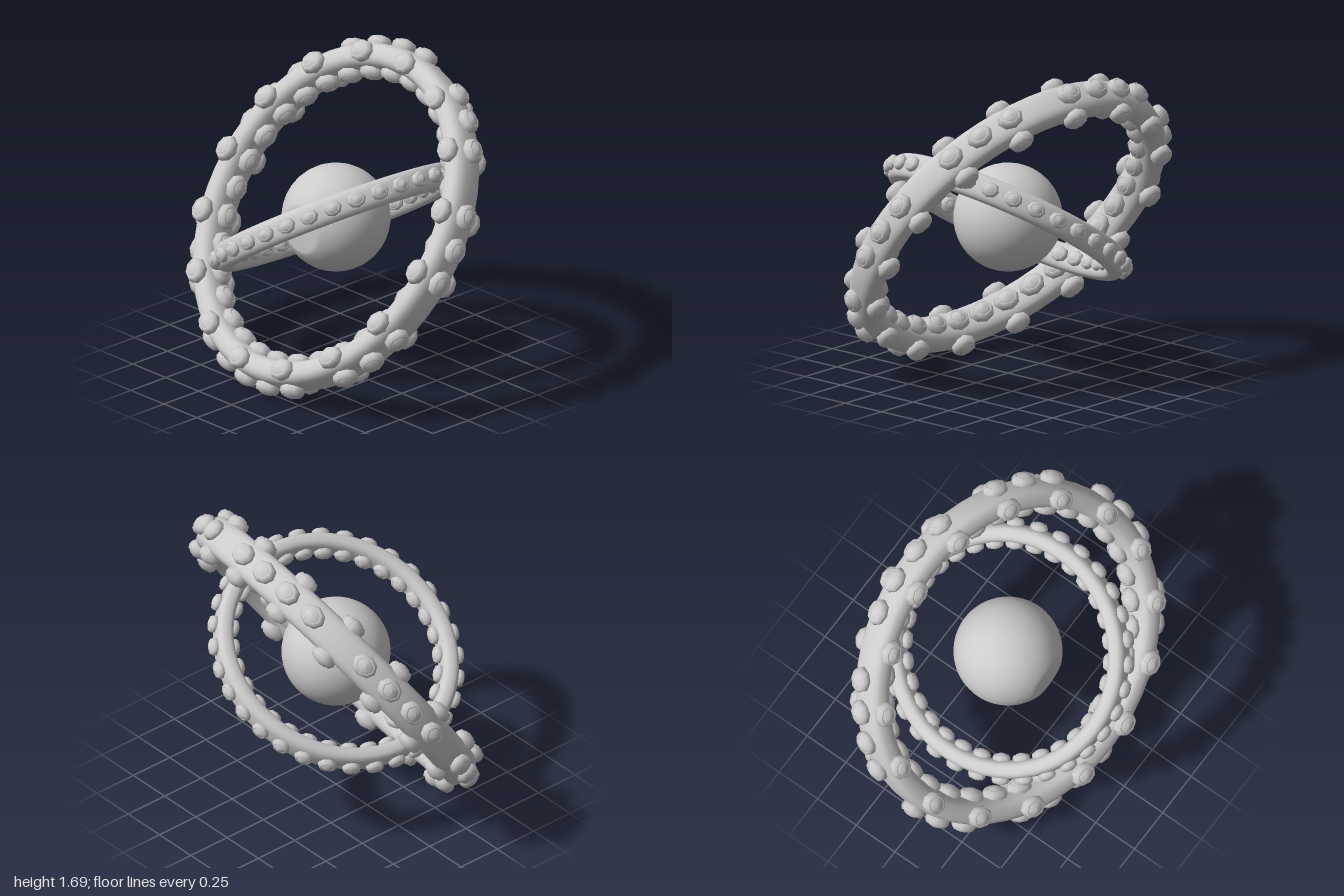
import * as THREE from 'three';
import { mergeGeometries } from 'three/addons/utils/BufferGeometryUtils.js';

const material = new THREE.MeshStandardMaterial({ color: 0xcccccc });
const CENTRE_Y = 0.848;
const R = 0.882;          // ring centreline radius
const RADIAL = 0.068;     // half thickness of the band, radially
const AXIAL = 0.1;        // half width of the band, along its axis
const STEP = Math.PI / 16;
const START = -0.068;

function named(name, geometry) {
  const mesh = new THREE.Mesh(geometry, material);
  mesh.name = name;
  return mesh;
}

// Closed band with a rounded-box section, axis along z
function bandGeometry() {
  const soften = (t) => Math.sign(t) * Math.abs(t) ** 0.75;
  const section = [];
  for (let i = 0; i <= 24; i++) {
    const a = -Math.PI + (i / 24) * Math.PI * 2;
    section.push(new THREE.Vector2(
      R + RADIAL * soften(Math.cos(a)), AXIAL * soften(Math.sin(a))));
  }
  return new THREE.LatheGeometry(section, 56).rotateX(Math.PI / 2);
}

// Small bead: a bulging faceted rim with a lower dome set in it, y outward
function studGeometry() {
  const rim = new THREE.LatheGeometry(
    [[0.056, -0.025], [0.071, 0], [0.071, 0.02], [0.058, 0.04], [0.046, 0.038]]
      .map(([x, y]) => new THREE.Vector2(x, y)), 8);
  const dome = new THREE.LatheGeometry(
    [[0.05, 0.034], [0.034, 0.048], [0, 0.054]].map(([x, y]) => new THREE.Vector2(x, y)), 8);
  return mergeGeometries([rim, dome]).scale(1, 1, 0.84);
}

// Place one stud on the band at an angle measured from the ring's top
function placeStud(stud, angle, side) {
  const radial = new THREE.Vector3(Math.sin(angle), Math.cos(angle), 0);
  const axis = new THREE.Vector3(0, 0, 1);
  const onRim = side === 'outer' || side === 'inner';
  const sign = side === 'outer' || side === 'front' ? 1 : -1;
  const out = (onRim ? radial : axis).clone().multiplyScalar(sign);
  const across = onRim ? axis : radial;
  const along = new THREE.Vector3().crossVectors(out, across);
  const position = radial.clone().multiplyScalar(R)
    .addScaledVector(out, onRim ? RADIAL : AXIAL);
  const matrix = new THREE.Matrix4().makeBasis(along, out, across).setPosition(position);
  return stud.clone().applyMatrix4(matrix);
}

// Studded ring whose axis points along the given normal
function makeRing(name, normal, size, outerGaps, sideStuds) {
  const group = new THREE.Group();
  group.name = name;
  group.add(named(name + 'Band', bandGeometry()));

  const stud = studGeometry();
  const studs = [];
  for (let i = 0; i < 32; i++) {
    const angle = START + i * STEP;
    studs.push(placeStud(stud, angle, 'inner'));
    if (!outerGaps.includes(i)) studs.push(placeStud(stud, angle, 'outer'));
    if (sideStuds && i % 2 === 1) {
      studs.push(placeStud(stud, angle, 'front'), placeStud(stud, angle, 'back'));
    }
  }
  group.add(named(name + 'Studs', mergeGeometries(studs)));

  // Orient: local z is the normal, local x stays as close to world x as it can
  const n = normal.clone().normalize();
  const u = new THREE.Vector3(1, 0, 0).addScaledVector(n, -n.x).normalize();
  const v = new THREE.Vector3().crossVectors(n, u);
  group.quaternion.setFromRotationMatrix(new THREE.Matrix4().makeBasis(u, v, n));
  group.scale.setScalar(size);
  group.position.y = CENTRE_Y;
  return group;
}

// Smooth ball, flattened at the front
function makeOrb() {
  const r = 0.285, cut = 0.43;
  const profile = [];
  for (let i = 0; i <= 28; i++) {
    const a = Math.PI - (i / 28) * (Math.PI - cut);
    profile.push(new THREE.Vector2(r * Math.sin(a), r * Math.cos(a)));
  }
  profile.push(new THREE.Vector2(0, r * Math.cos(cut)));
  const orb = named('orb', new THREE.LatheGeometry(profile, 40).rotateX(Math.PI / 2));
  orb.position.y = CENTRE_Y;
  return orb;
}

export function createModel() {
  const model = new THREE.Group();
  model.name = 'ringedOrb';
  model.add(makeOrb());
  model.add(makeRing('outerRing', new THREE.Vector3(-0.105, 0.56, 0.81), 1,
    [2, 6, 10, 14, 20, 24, 29], true));
  model.add(makeRing('innerRing', new THREE.Vector3(-0.55, 0.835, -0.05), 0.705, [], false));
  return model;
}
